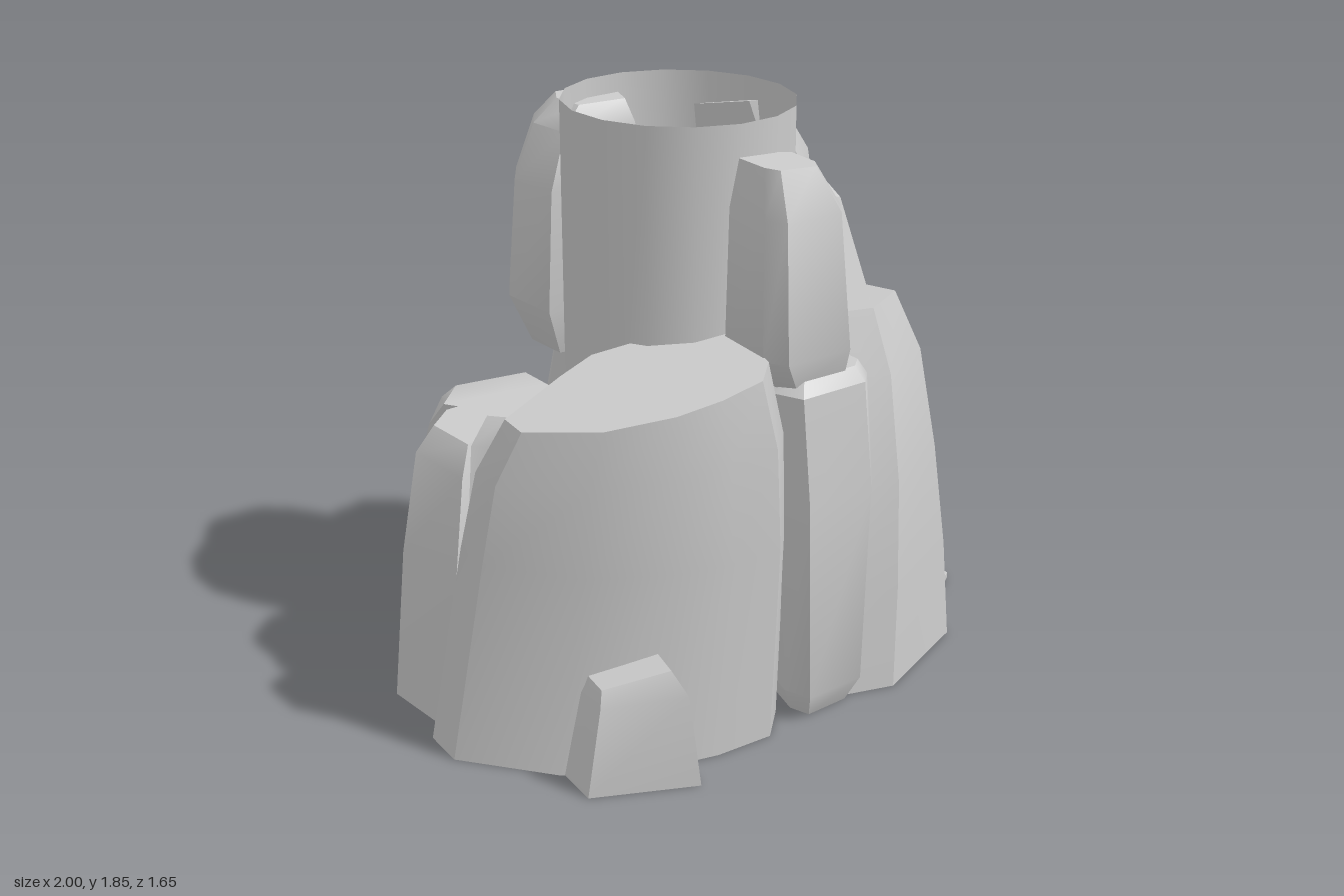
import * as THREE from 'three';
import { toCreasedNormals } from 'three/addons/utils/BufferGeometryUtils.js';

// double-sided, as the rocks are shells open at the bottom
const mat = new THREE.MeshStandardMaterial({ color: 0xcccccc, side: THREE.DoubleSide });

function addMesh(group, name, geo) {
  const mesh = new THREE.Mesh(toCreasedNormals(geo, 0.65), mat);
  mesh.name = name;
  group.add(mesh);
}

// Rings of a footprint [x,z]. Each level is [y, x0, x1, z0, z1, slopeX, slopeZ]:
// the footprint is fitted to that box, its plane tilted by the slopes.
function rockRings(plan, levels) {
  let area = 0;
  plan.forEach(([x, z], i) => {
    const [u, w] = plan[(i + 1) % plan.length];
    area += x * w - u * z;
  });
  if (area > 0) plan = [...plan].reverse();
  const xs = plan.map(p => p[0]), zs = plan.map(p => p[1]);
  const ax = Math.min(...xs), bx = Math.max(...xs), az = Math.min(...zs), bz = Math.max(...zs);
  return levels.map(([y, x0 = ax, x1 = bx, z0 = az, z1 = bz, sx = 0, sz = 0]) => plan.map(([x, z]) => {
    const X = x0 + (x - ax) / (bx - ax) * (x1 - x0);
    const Z = z0 + (z - az) / (bz - az) * (z1 - z0);
    return [X, y + sx * (X - (x0 + x1) / 2) + sz * (Z - (z0 + z1) / 2), Z];
  }));
}

// Skin over the rings, capped on top and, if closed, below
function loft(rings, { closed = false, skipEdge = -1 } = {}) {
  const n = rings[0].length, top = rings.length - 1, pos = rings.flat(2), idx = [];
  for (let i = 0; i < top; i++) {
    for (let j = 0; j < n; j++) {
      if (j === skipEdge) continue;
      const a = i * n + j, b = i * n + (j + 1) % n;
      idx.push(a, b, b + n, a, b + n, a + n);
    }
  }
  for (const i of closed ? [0, top] : [top]) {
    const c = pos.length / 3;
    for (let k = 0; k < 3; k++) pos.push(rings[i].reduce((s, p) => s + p[k], 0) / n);
    for (let j = 0; j < n; j++) {
      const a = i * n + j, b = i * n + (j + 1) % n;
      idx.push(c, ...(i ? [a, b] : [b, a]));
    }
  }
  const geo = new THREE.BufferGeometry();
  geo.setAttribute('position', new THREE.Float32BufferAttribute(pos, 3));
  geo.setIndex(idx);
  return geo;
}

const ROCKS = {
  frontBoulder: [
    [[-.97, .2], [-.96, .35], [-.72, .59], [-.45, .7], [-.26, .72], [-.07, .7], [.02, .58], [.06, .08], [-.49, -.03], [-.66, .04]],
    [[.01, -1, .04, -.03, .7], [.65, -.9, .04, .03, .72], [.95, -.87, .01, .12, .73, .08], [1.155, -.8, -.05, .22, .71, .2, -.08]]],
  frontPillar: [
    [[0, .4], [-.03, .6], [.02, .69], [.27, .65], [.32, .58], [.3, .36], [.15, .33]],
    [[.01, .05, .26, .38, .63], [.1, .01, .3, .35, .68], [.75, -.02, .32, .33, .69], [1.09, -.03, .3, .34, .66], [1.13, .01, .28, .38, .61]]],
  backBoulder: [
    [[-.27, -.6], [-.2, -.77], [-.12, -.82], [.07, -.8], [.37, -.67], [.41, -.5], [.36, -.38], [-.2, -.4]],
    [[.02, -.1, .28, -.68, -.46], [.13, -.25, .4, -.83, -.42], [.45, -.27, .41, -.8, -.4], [.9, -.23, .39, -.68, -.36], [1.03, -.21, .37, -.64, -.36, 0, .06], [1.085, -.17, .34, -.58, -.36, 0, .06]]],
  backLeftBoulder: [
    [[-.82, -.46], [-.66, -.77], [-.25, -.77], [-.22, -.45], [-.28, -.18], [-.64, -.15]],
    [[.01, -.73, -.3, -.69, -.2], [.14, -.82, -.25, -.78, -.16], [.55, -.79, -.25, -.69, -.16], [.8, -.75, -.29, -.55, -.16], [.88, -.72, -.36, -.43, -.17]]],
  sideBoulder: [
    [[-1, -.12], [-.85, -.28], [-.63, -.32], [-.58, -.1], [-.63, .02], [-.94, .19]],
    [[.01, -1, -.57, -.3, .19], [.5, -.95, -.57, -.3, .18], [.82, -.89, -.57, -.28, .14], [.9, -.83, -.6, -.23, .08]]],
  sideWedge: [
    [[-.8, .16], [-.74, .22], [-.48, .1], [-.56, -.03]],
    [[.01, -.9, -.46, -.05, .26], [.93, -.82, -.48, -.03, .22], [1.01, -.76, -.5, .01, .19]]],
  upperFrontRock: [
    [[-.1, .4], [-.08, .58], [-.03, .64], [.2, .61], [.25, .53], [.24, .36], [.15, .33], [-.03, .35]],
    [[1.1, -.03, .24, .37, .61], [1.2, -.1, .25, .33, .65], [1.62, -.09, .21, .34, .63], [1.755, -.06, .14, .36, .57, -.07]]],
  upperSideShard: [
    [[.27, .02], [.26, .35], [.47, .34], [.52, 0]],
    [[1.15, .26, .53, 0, .36], [1.57, .28, .44, .03, .23, -.25, -.25]]],
  upperBackRightRock: [
    [[.15, -.34], [.36, -.44], [.56, -.11], [.45, 0], [.34, -.03]],
    [[1.12, .17, .54, -.41, -.05], [1.3, .15, .56, -.42, -.03], [1.6, .14, .5, -.42, -.01], [1.76, .14, .4, -.39, -.06, 0, .2]]],
  upperBackSmallRock: [
    [[-.04, -.3], [-.03, -.48], [.1, -.56], [.2, -.5], [.24, -.38], [.15, -.24]],
    [[1.06, 0, .2, -.52, -.25], [1.2, -.04, .24, -.56, -.24], [1.48, -.02, .21, -.53, -.25], [1.57, .02, .16, -.46, -.28]]],
  upperBackLeftRock: [
    [[-.43, -.42], [-.36, -.57], [-.06, -.61], [-.01, -.42], [-.06, -.22], [-.39, -.2]],
    [[1, -.36, -.08, -.54, -.25], [1.16, -.43, -.02, -.61, -.2], [1.55, -.41, -.02, -.56, -.2], [1.73, -.35, -.03, -.51, -.21], [1.8, -.27, -.06, -.47, -.25]]],
  footRock: [
    [[-.74, .56], [-.73, .74], [-.4, .82], [-.38, .56]],
    [[.01, -.74, -.39, .5, .82], [.3, -.69, -.43, .5, .81, .1], [.37, -.67, -.47, .5, .77, .35, -.1]]],
};

const STEPS = {
  upperStep: [[[.76, -.13], [.88, -.15], [.91, 0], [.89, .13], [.76, .12]], [[.01], [.065]]],
  lowerStep: [[[.84, -.14], [.92, -.16], [.97, -.09], [1, 0], [1, .08], [.93, .14], [.84, .12]], [[.015], [.035]]],
};

const path = (Type, pts) => new Type(pts.map(([z, y]) => new THREE.Vector2(-z, y)));
const DOOR = [[.17, .05], [.19, .38], [.16, .54], [.1, .59], [0, .61], [-.1, .58], [-.13, .53], [-.15, .38], [-.14, .05]];
const FRAME = [[.21, .015], [.28, .38], [.21, .62], [0, .69], [-.16, .62], [-.21, .38], [-.18, .015]];

// Big rock whose outer face is a panel pierced by the doorway
function addDoorBoulder(group) {
  const plan = [[.77, .4], [.69, -.25], [.45, -.49], [.2, -.36], [.1, -.1], [.08, .25], [.25, .58], [.43, .61]];
  const rings = rockRings(plan, [
    [.01, .04, .77, -.48, .61], [.35, .09, .74, -.46, .6], [.7, .15, .7, -.44, .57],
    [1, .2, .67, -.42, .49, 0, .07], [1.175, .22, .6, -.4, .42, 0, .14]]);
  addMesh(group, 'doorBoulder', loft(rings, { skipEdge: 0 }));
  const q = rings.map(r => r[0]), p = rings.map(r => r[1]);
  const shape = path(THREE.Shape, [...q, ...[...p].reverse()].map(v => [v[2], v[1]]));
  shape.holes.push(path(THREE.Path, DOOR));
  const panel = new THREE.ShapeGeometry(shape).rotateY(Math.PI / 2);
  // lay the flat panel on the slanting edges of the rock
  const edgeAt = (edge, y) => {
    let i = 0;
    while (i < edge.length - 2 && y > edge[i + 1][1]) i++;
    const t = (y - edge[i][1]) / (edge[i + 1][1] - edge[i][1]);
    return edge[i].map((c, k) => c + (edge[i + 1][k] - c) * t);
  };
  const v = panel.attributes.position;
  for (let i = 0; i < v.count; i++) {
    const a = edgeAt(q, v.getY(i)), b = edgeAt(p, v.getY(i));
    v.setX(i, a[0] + (b[0] - a[0]) * (v.getZ(i) - a[2]) / (b[2] - a[2]));
  }
  addMesh(group, 'doorBoulderFace', panel);
}

// Leaning stone arch whose ceiling drops towards a recessed wall
function addDoorway(group) {
  const lean = geo => {
    const v = geo.attributes.position;
    for (let i = 0; i < v.count; i++) {
      const x = v.getX(i), y = v.getY(i);
      v.setXY(i, x - .13 * y * y, y * (1 - .7 * Math.max(0, .75 - x)));
    }
    return geo;
  };
  const arch = path(THREE.Shape, FRAME);
  arch.holes.push(path(THREE.Path, DOOR));
  const frame = new THREE.ExtrudeGeometry(arch, {
    depth: .3, bevelThickness: .02, bevelSize: .015, bevelOffset: -.015, bevelSegments: 1,
  });
  addMesh(group, 'doorFrame', lean(frame.rotateY(Math.PI / 2).translate(.485, 0, 0)));
  const wall = new THREE.ShapeGeometry(path(THREE.Shape, DOOR)).rotateY(Math.PI / 2);
  addMesh(group, 'doorRecessWall', lean(wall.translate(.5, 0, 0)));
}

export function createModel() {
  const group = new THREE.Group();
  group.name = 'rockTower';
  for (const [name, [plan, levels]] of Object.entries(ROCKS)) {
    addMesh(group, name, loft(rockRings(plan, levels)));
  }
  for (const [name, [plan, levels]] of Object.entries(STEPS)) {
    addMesh(group, name, loft(rockRings(plan, levels), { closed: true }));
  }
  addDoorBoulder(group);
  addDoorway(group);
  // open tube in the middle, slightly oval
  const tube = new THREE.CylinderGeometry(.355, .355, 1.36, 16, 1, true);
  addMesh(group, 'chimneyTube', tube.scale(1, 1, 1.06).translate(-.05, 1.18, .025));
  return group;
}
